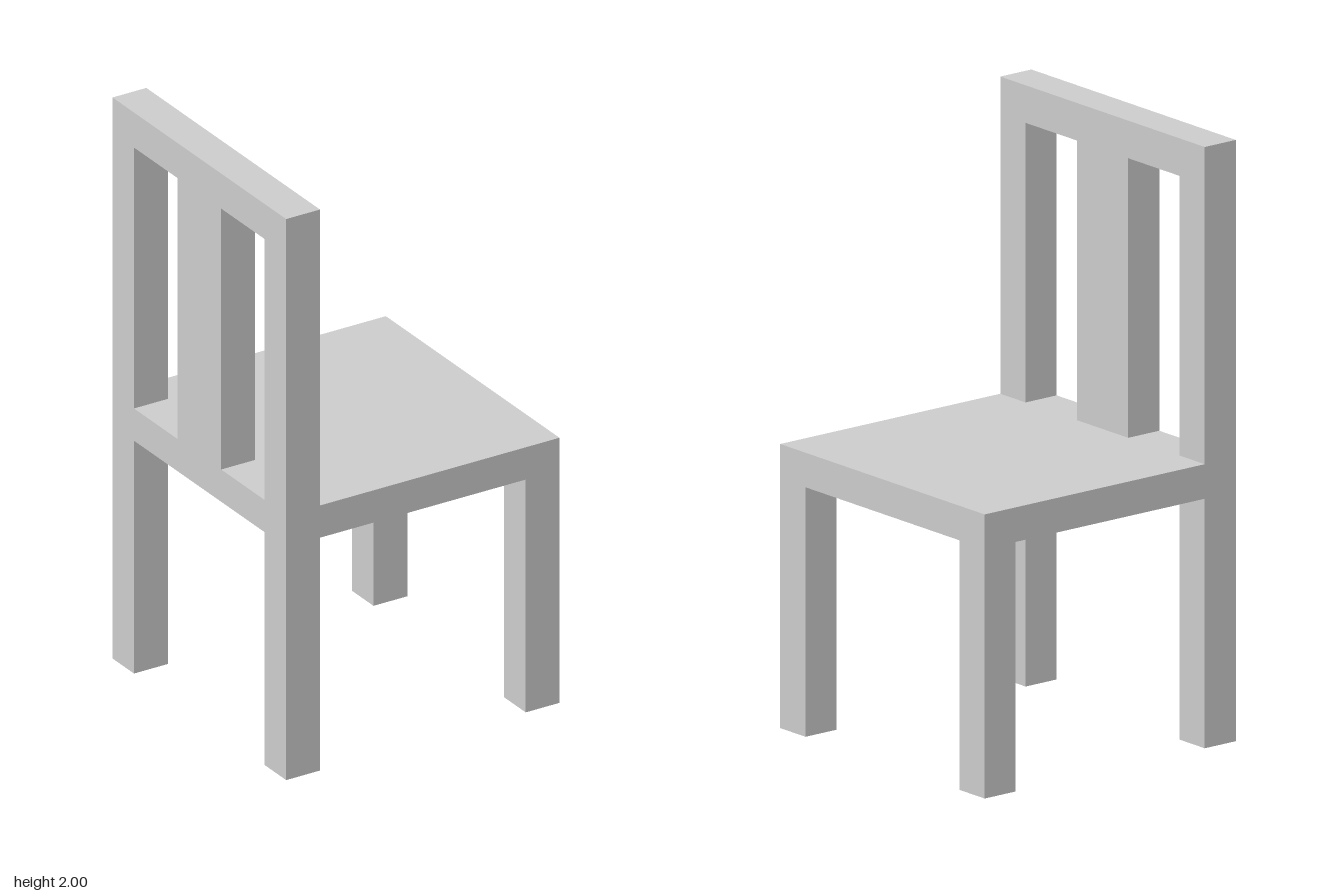
import * as THREE from 'three';

const HALF = 0.517;        // half width and depth of the chair
const POST = 0.128;        // thickness of legs, posts and back
const SEAT_BOTTOM = 0.83, SEAT_TOP = 0.945;
const RAIL_BOTTOM = 1.875, TOP = 2;

export function createModel() {
  const chair = new THREE.Group();
  chair.name = 'chair';
  const material = new THREE.MeshStandardMaterial({ color: 0xcccccc, flatShading: true });

  // Box given by its lower and upper bounds on each axis
  function addBox(name, [x0, x1], [y0, y1], [z0, z1]) {
    const mesh = new THREE.Mesh(new THREE.BoxGeometry(x1 - x0, y1 - y0, z1 - z0), material);
    mesh.name = name;
    mesh.position.set((x0 + x1) / 2, (y0 + y1) / 2, (z0 + z1) / 2);
    chair.add(mesh);
  }

  const backX = [-HALF, -HALF + POST];
  const openX = [HALF - POST, HALF];
  const sides = { Front: [HALF - POST, HALF], Rear: [-HALF, -HALF + POST] };

  // Seat slab
  addBox('seat', [-HALF, HALF], [SEAT_BOTTOM, SEAT_TOP], [-HALF, HALF]);

  // Four legs, and the two posts that carry the backrest
  for (const [side, z] of Object.entries(sides)) {
    addBox('seatLeg' + side, openX, [0, SEAT_BOTTOM], z);
    addBox('backLeg' + side, backX, [0, SEAT_BOTTOM], z);
    addBox('backPost' + side, backX, [SEAT_TOP, RAIL_BOTTOM], z);
  }

  // Backrest: wide centre slat and top rail
  addBox('backSlat', backX, [SEAT_TOP, RAIL_BOTTOM], [-0.13, 0.13]);
  addBox('topRail', backX, [RAIL_BOTTOM, TOP], [-HALF, HALF]);

  return chair;
}
